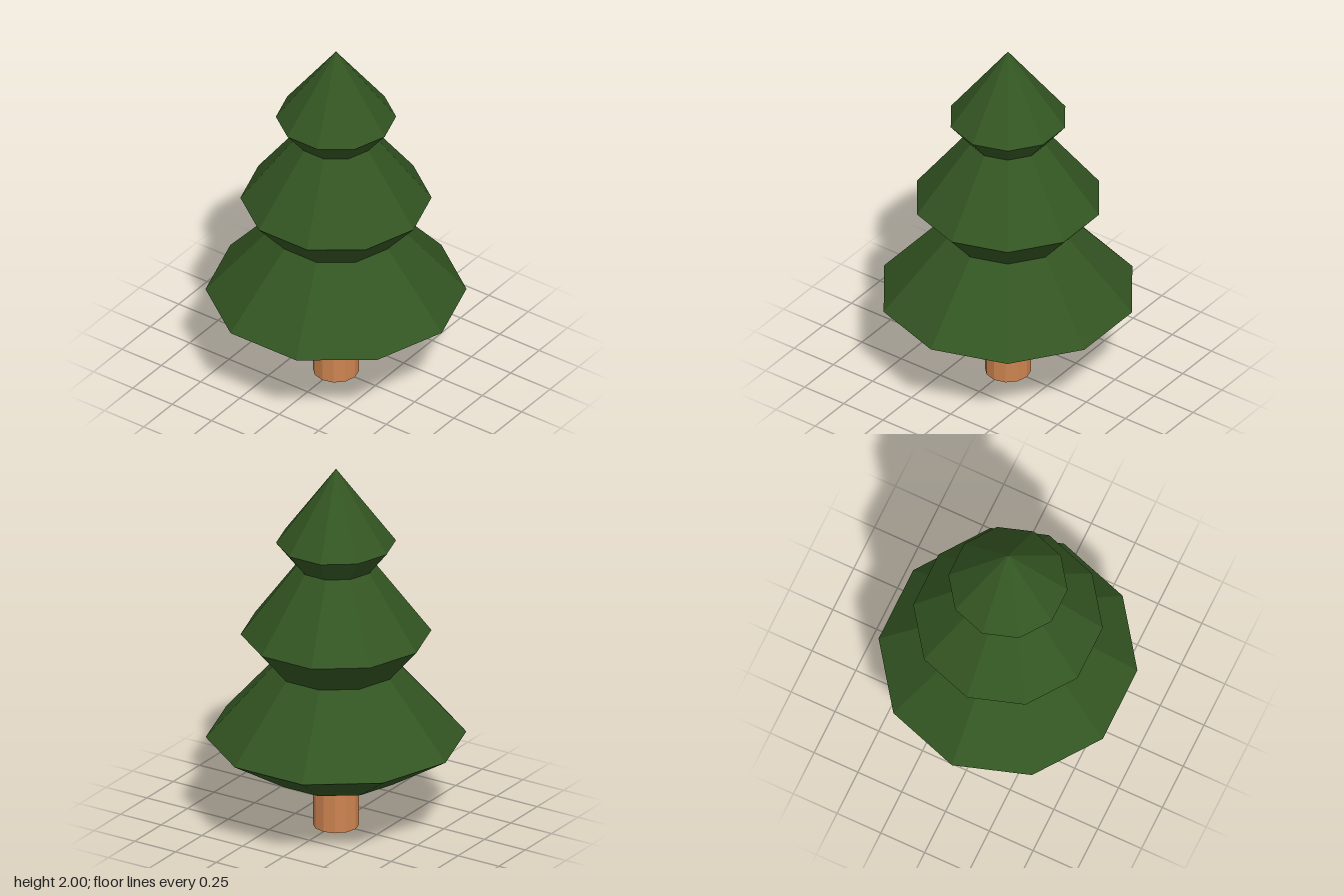
import * as THREE from 'three';

export function createModel() {
  const tree = new THREE.Group();
  tree.name = 'pineTree';

  const add = (name, geometry, color) => {
    const material = new THREE.MeshStandardMaterial({ color, flatShading: true });
    const mesh = new THREE.Mesh(geometry, material);
    mesh.name = name;
    tree.add(mesh);
    return mesh;
  };

  // Trunk: twelve-sided post, ending just inside the foliage
  const trunkHeight = 0.31;
  add('trunk', new THREE.CylinderGeometry(0.12, 0.12, trunkHeight, 12), 0xcc8450)
    .position.y = trunkHeight / 2;

  // Foliage: three flared tiers as one ten-sided profile [radius, height]
  const profile = [
    [0, 0.305], [0.35, 0.305], // flat underside
    [0.673, 0.505], [0.33, 0.893], // lower tier
    [0.493, 1.08], [0.205, 1.46], // middle tier
    [0.31, 1.59], [0, 2], // top tier
  ].map(([r, y]) => new THREE.Vector2(r, y));
  add('foliage', new THREE.LatheGeometry(profile, 10), 0x335522);

  return tree;
}
